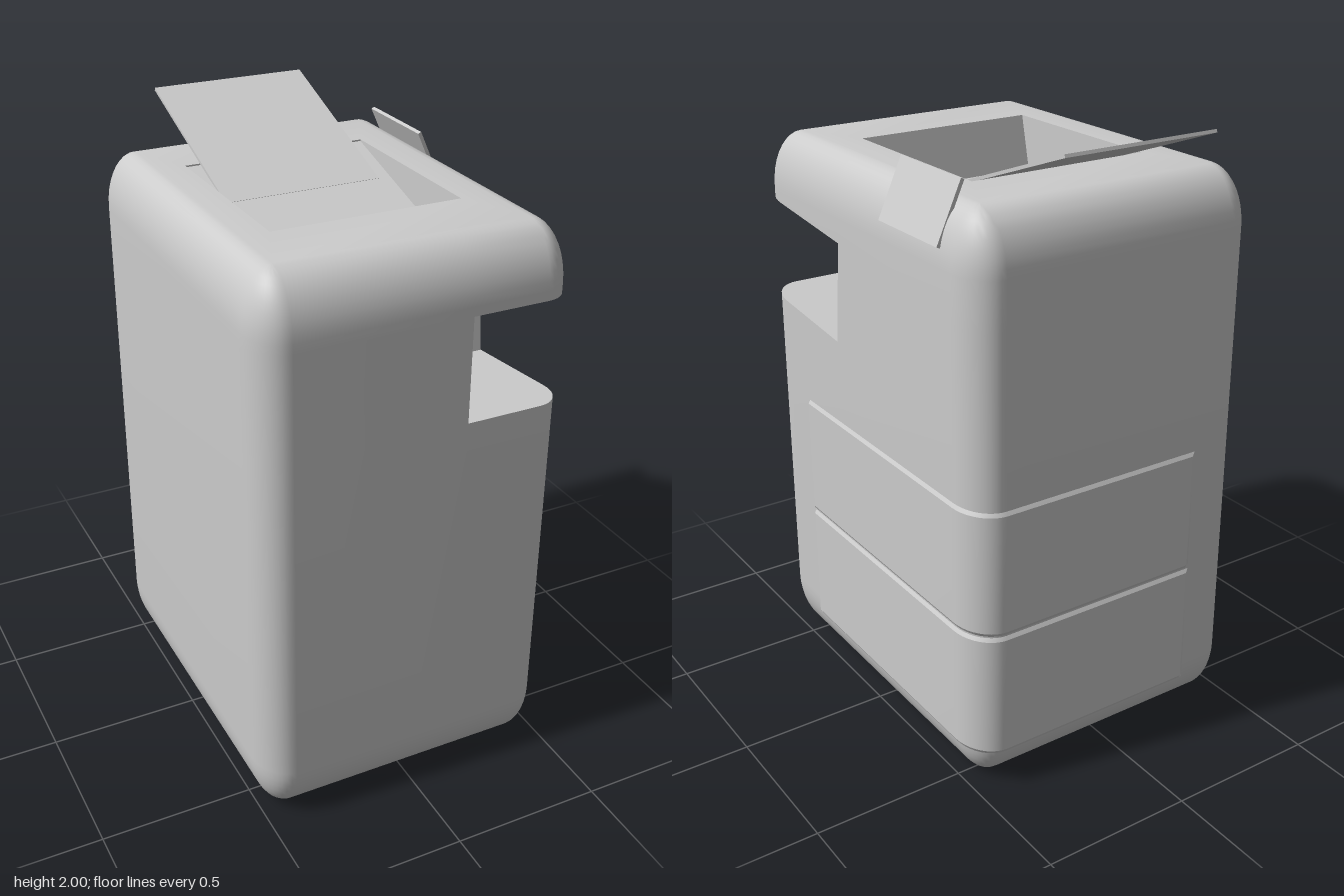
import * as THREE from 'three';
import { toCreasedNormals } from 'three/addons/utils/BufferGeometryUtils.js';

const X0 = -0.41, X1 = 0.40, Z0 = -0.495, Z1 = 0.55; // flat core of the body
const RX = 0.1, RY = 0.185, RZ = 0.13, H = 1.85;     // corner radii and height
const SEG = 10;

// Collects quads and triangles, then makes a mesh with creased normals
function builder() {
  const pos = [];
  const tri = (...pts) => pts.forEach(p => pos.push(p[0], p[1], p[2]));
  const quad = (a, b, c, d) => { tri(a, b, c); tri(a, c, d); };
  const mesh = (name, material) => {
    const geo = new THREE.BufferGeometry();
    geo.setAttribute('position', new THREE.Float32BufferAttribute(pos, 3));
    const m = new THREE.Mesh(toCreasedNormals(geo, 0.5), material);
    m.name = name;
    return m;
  };
  return { tri, quad, mesh };
}

// Points of one rounded corner: core centre plus elliptical offset
function corner(cx, cz, from, to) {
  return Array.from({ length: SEG + 1 }, (_, i) => {
    const t = (from + (to - from) * i / SEG) * Math.PI / 2;
    return { cx, cz, dx: RX * Math.cos(t), dz: RZ * Math.sin(t) };
  });
}

function createBody(material) {
  const { tri, quad, mesh } = builder();
  const notchX = 0.15;

  // Columns around the body, starting at the notch's rear edge
  const cols = [
    { cx: X1, cz: 0.17, dx: RX, dz: 0 },
    ...corner(X1, Z1, 0, 1),
    { cx: notchX, cz: Z1, dx: 0, dz: RZ },
    ...corner(X0, Z1, 1, 2), ...corner(X0, Z0, 2, 3), ...corner(X1, Z0, 3, 4),
  ];
  const notchEnd = SEG + 2;

  // Rows from bottom to top; the two notch rows slope with z
  const rows = [];
  for (let j = 0; j <= SEG; j++) {
    const t = j / SEG * Math.PI / 2;
    rows.push({ y: RY * (1 - Math.cos(t)), k: Math.sin(t) });
  }
  const lo = rows.length, hi = lo + 1;
  rows.push({ y: 1.295, k: 1, slope: 0.095, rear: 0.19 }, { y: 1.635, k: 1, slope: 0.095, rear: 0.155 });
  for (let j = SEG; j >= 0; j--) {
    const t = j / SEG * Math.PI / 2;
    rows.push({ y: H - RY * (1 - Math.cos(t)), k: Math.sin(t) });
  }
  const rowY = (r, z) => r.y + (r.slope || 0) * (z - 0.68);
  const P = (i, j) => {
    const c = cols[i % cols.length], r = rows[j];
    const z = (i % cols.length === 0 && r.rear ? r.rear : c.cz) + c.dz * r.k;
    return [c.cx + c.dx * r.k, rowY(r, z), z];
  };

  // Outer skin with the notch left open
  for (let j = 0; j < rows.length - 1; j++)
    for (let i = 0; i < cols.length; i++)
      if (!(j === lo && i < notchEnd)) quad(P(i, j), P(i, j + 1), P(i + 1, j + 1), P(i + 1, j));

  // Notch floor, ceiling and two walls
  const [qLo, qHi] = [lo, hi].map(j => [notchX, rowY(rows[j], rows[j].rear), rows[j].rear]);
  for (let i = 0; i < notchEnd; i++) {
    tri(qLo, P(i + 1, lo), P(i, lo));
    tri(qHi, P(i, hi), P(i + 1, hi));
  }
  quad(qLo, P(0, lo), P(0, hi), qHi);
  quad(P(notchEnd, lo), qLo, qHi, P(notchEnd, hi));

  // Top frame, sloping chute and bottom
  const rect = (x0, x1, z0, z1, yBack, yFront) =>
    [[x1, yFront, z1], [x0, yFront, z1], [x0, yBack, z0], [x1, yBack, z0]];
  const outer = rect(X0, X1, Z0, Z1, H, H);
  const rim = rect(-0.32, 0.30, -0.30, 0.34, H, H);
  const floor = rect(-0.32, 0.30, -0.30, 0.30, 1.845, 1.675);
  for (let i = 0; i < 4; i++) {
    const n = (i + 1) % 4;
    quad(outer[n], outer[i], rim[i], rim[n]);
    quad(floor[i], floor[n], rim[n], rim[i]);
  }
  quad(floor[3], floor[2], floor[1], floor[0]);
  quad(...rect(X0, X1, Z0, Z1, 0, 0));
  return mesh('body', material);
}

// Thin bevelled drawer front wrapping from the side around to the back
function createPanel(y0, y1, material) {
  const { quad, mesh } = builder();
  const raise = 0.007, bevel = 0.012;
  const section = [[-0.015, y0], [0, y0], [raise, y0 + bevel], [raise, y1 - bevel], [0, y1], [-0.015, y1]];
  const side = z => ({ cx: X1, cz: z, dx: RX, dz: 0 });
  const back = x => ({ cx: x, cz: Z0, dx: 0, dz: -RZ });
  const path = [
    { ...side(0.425), end: true }, side(0.413),
    ...corner(X1, Z0, 4, 3),
    back(-0.30), { ...back(-0.312), end: true },
  ];
  const P = (i, j) => {
    const p = path[i], off = p.end ? Math.min(section[j][0], 0) : section[j][0];
    return [p.cx + p.dx * (1 + off / RX), section[j][1], p.cz + p.dz * (1 + off / RZ)];
  };
  for (let i = 0; i < path.length - 1; i++)
    for (let j = 0; j < section.length - 1; j++)
      quad(P(i, j), P(i + 1, j), P(i + 1, j + 1), P(i, j + 1));
  return mesh('drawerPanel', material);
}

export function createModel() {
  const group = new THREE.Group();
  const material = new THREE.MeshStandardMaterial({ color: 0xcccccc });
  group.add(createBody(material));
  group.add(createPanel(0.125, 0.545, material), createPanel(0.55, 0.965, material));

  const plate = (name, size, position) => {
    const m = new THREE.Mesh(new THREE.BoxGeometry(...size), material);
    m.name = name;
    m.position.set(...position);
    group.add(m);
    return m;
  };

  // Open lid rising from the chute towards the back
  const lid = plate('lid', [0.53, 0.01, 0.625], [-0.007, 1.888, -0.387]);
  lid.rotation.x = Math.atan(0.36);

  // Small tilted screen on the upper side edge
  const screen = plate('screen', [0.012, 0.2, 0.32], [0.46, 1.815, -0.278]);
  screen.rotation.z = Math.atan(0.45);

  return group;
}
